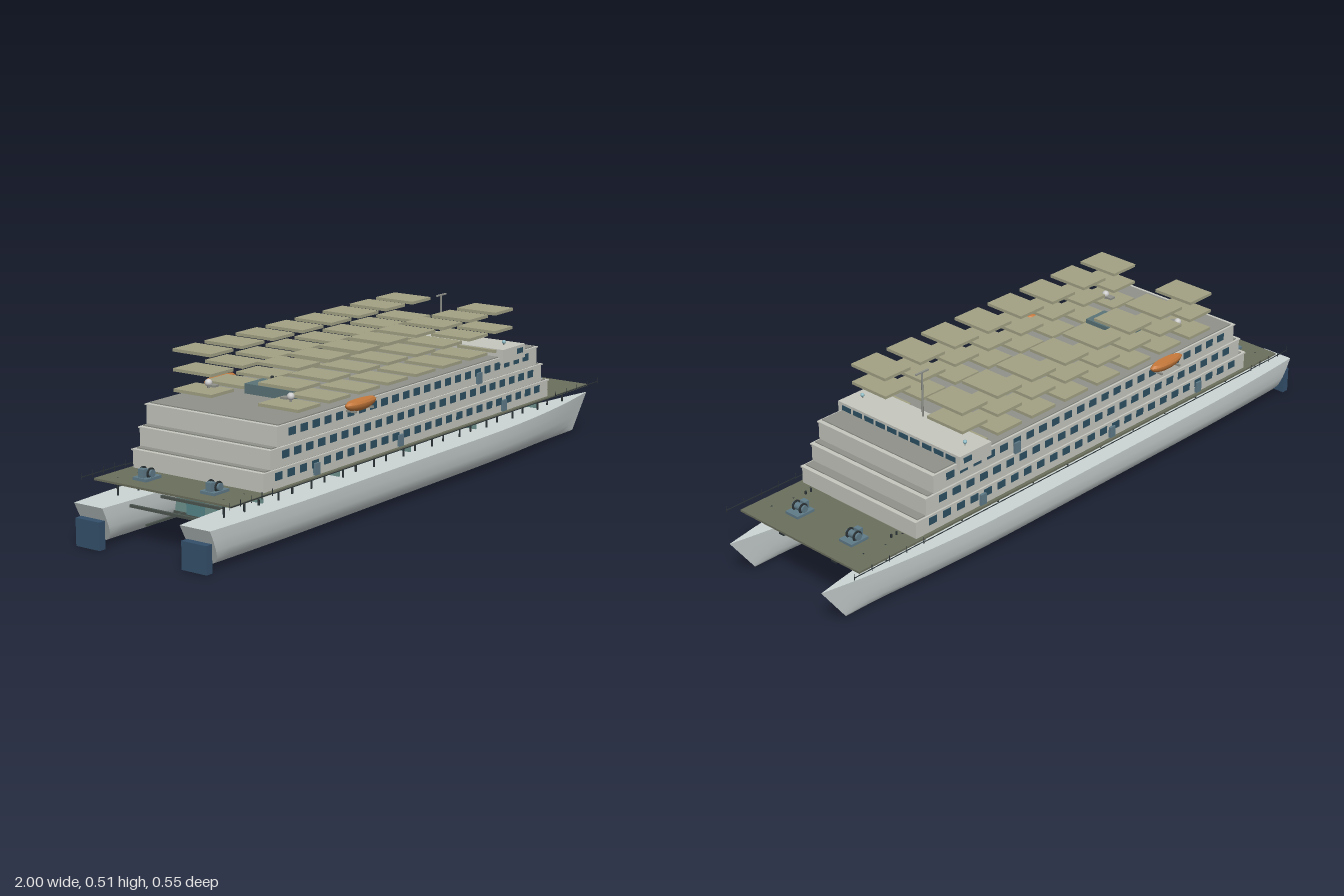
import * as THREE from 'three';

const mat = (color) => new THREE.MeshStandardMaterial({ color });

export function createModel() {
  const ship = new THREE.Group();
  const hullMat = mat(0xccd4d4), deckMat = mat(0x6b6f5c), wallMat = mat(0xc6c7bf), trimMat = mat(0x8f918a);
  const glassMat = mat(0x2d5063), panelMat = mat(0xa3a285), boatMat = mat(0xc77a3c), tealMat = mat(0x6f9490);
  const flapMat = mat(0x55868b), darkMat = mat(0x2b3336), machineMat = mat(0x5f7b88), beamMat = mat(0x4c5550);
  const rudderMat = mat(0x34506b), roofHouseMat = mat(0x5a7478), domeMat = mat(0xcccccc), lampMat = mat(0x8fbcc6);

  const add = (name, geo, material, x, y, z, parent = ship) => {
    const m = new THREE.Mesh(geo, material);
    m.name = name;
    m.position.set(x, y, z);
    parent.add(m);
    return m;
  };
  const box = (name, material, x0, x1, y0, y1, z0, z1, parent = ship) =>
    add(name, new THREE.BoxGeometry(x1 - x0, y1 - y0, z1 - z0), material,
      (x0 + x1) / 2, (y0 + y1) / 2, (z0 + z1) / 2, parent);
  const rod = (name, material, r, h, x, y0, z, parent = ship) =>
    add(name, new THREE.CylinderGeometry(r, r, h, 8), material, x, y0 + h / 2, z, parent);
  const group = (name, x = 0, y = 0, z = 0) => {
    const g = new THREE.Group();
    g.name = name;
    g.position.set(x, y, z);
    ship.add(g);
    return g;
  };

  // Hulls: U-shaped sections lofted from stern to raked bow
  const section = [[1, 0.12], [0.98, 0.09], [0.91, 0.06], [0.78, 0.035], [0.5, 0.018], [0.2, 0.011], [0, 0.008]];
  const ring = [...section, ...section.slice(0, -1).reverse().map(([z, y]) => [-z, y])];
  const hullGeometry = () => {
    const N = 40, R = ring.length, pos = [], idx = [];
    for (let i = 0; i <= N; i++) {
      const u = -1 + 2 * i / N;
      let w = 1;
      if (u > 0.25) w = 1 - Math.pow((u - 0.25) / 0.75, 2.2);
      if (u < -0.5) w = 1 - 0.24 * Math.pow((-u - 0.5) / 0.5, 2);
      for (const [z, y] of ring) {
        const t = (y - 0.008) / 0.112;
        const top = u * 0.995, low = -0.94 + (u + 1) * 0.925;
        pos.push(low + (top - low) * t, y, z * 0.068 * Math.max(w, 0.004));
      }
    }
    for (let i = 0; i < N; i++) for (let j = 0; j < R - 1; j++) {
      const a = i * R + j, b = a + R;
      idx.push(a, b, a + 1, b, b + 1, a + 1);
    }
    const g = new THREE.BufferGeometry();
    g.setAttribute('position', new THREE.Float32BufferAttribute(pos, 3));
    g.setIndex(idx);
    g.computeVertexNormals();
    // Flat lid and transom
    const flat = [];
    const p = (k) => pos.slice(k * 3, k * 3 + 3);
    for (let i = 0; i < N; i++) {
      const a = i * R, b = a + R, c = a + R - 1, d = b + R - 1;
      flat.push(...p(a), ...p(c), ...p(b), ...p(b), ...p(c), ...p(d));
    }
    for (let j = 1; j < R - 1; j++) flat.push(...p(0), ...p(j), ...p(j + 1));
    const caps = new THREE.BufferGeometry();
    caps.setAttribute('position', new THREE.Float32BufferAttribute(flat, 3));
    caps.computeVertexNormals();
    return [g, caps];
  };
  const [shellGeo, capGeo] = hullGeometry();
  const hullShellMat = hullMat.clone();
  hullShellMat.side = THREE.DoubleSide;
  for (const s of [-1, 1]) {
    const hull = group(s > 0 ? 'leftHull' : 'rightHull', 0, 0, s * 0.188);
    add('hullShell', shellGeo, hullShellMat, 0, 0, 0, hull);
    add('hullCaps', capGeo, hullShellMat, 0, 0, 0, hull);
    box('rudder', rudderMat, -1, -0.977, 0, 0.08, -0.043, 0.043, hull);
    box('rudderStock', rudderMat, -0.985, -0.93, 0.03, 0.05, -0.01, 0.01, hull);
    // Posts between hull and deck
    for (let i = 0; i < 24; i++)
      rod('deckPost', darkMat, 0.003, 0.06, -0.87 + i * 0.074, 0.11, i % 2 ? 0.006 : -0.004, hull);
  }

  // Cross structure between the hulls
  for (let i = 0; i < 5; i++) {
    const x = 0.7 - i * 0.35, g = group('crossBulkhead', x);
    box('bulkheadPlate', tealMat, -0.003, 0.003, 0.12, 0.155, -0.18, 0.18, g);
    box('bulkheadLower', tealMat, -0.003, 0.003, 0.048, 0.12, -0.13, 0.13, g);
    box('bottomBeam', beamMat, -0.006, 0.006, 0.042, 0.05, -0.137, 0.137, g);
    for (const s of [-1, 1]) {
      add('flap', new THREE.BoxGeometry(0.014, 0.068, 0.064), flapMat, 0, 0.08, s * 0.054, g);
      for (const z of [0.08, 0.103, 0.118]) rod('strut', beamMat, 0.003, 0.11, 0.007, 0.046, s * z, g);
    }
  }
  for (let i = 0; i < 15; i++)
    add('crossBeam', new THREE.BoxGeometry(0.008, 0.008, 0.27), beamMat, 0.82 - i * 0.122, 0.105, 0);
  for (const s of [-1, 1]) box('longBeam', beamMat, -0.86, 0.76, 0.044, 0.05, s * 0.1 - 0.003, s * 0.1 + 0.003);

  // Main deck
  box('mainDeck', deckMat, -0.91, 0.905, 0.164, 0.17, -0.243, 0.243);

  // Three stepped cabin tiers with roof slabs and windows
  const tiers = [[-0.76, 0.68, 0.17, 0.224], [-0.73, 0.64, 0.226, 0.282], [-0.70, 0.61, 0.284, 0.342]];
  tiers.forEach(([x0, x1, y0, y1], k) => {
    box('cabinTier', wallMat, x0, x1, y0, y1 - 0.004, -0.232, 0.232);
    box('tierRoof', wallMat, x0 - 0.004, x1 + 0.004, y1 - 0.004, y1, -0.235, 0.235);
    box('tierSeam', trimMat, x0 + 0.01, x1 - 0.01, y1, y1 + 0.003, -0.228, 0.228);
    const n = 25 - k, a = x0 + 0.065, b = x1 - 0.065;
    for (let i = 0; i < n; i++) for (const s of [-1, 1])
      add('cabinWindow', new THREE.BoxGeometry(0.03, 0.022, 0.004), glassMat,
        a + (b - a) * i / (n - 1), y0 + 0.034, s * 0.232);
  });

  // Bridge with a window band
  box('bridge', wallMat, 0.395, 0.52, 0.325, 0.368, -0.246, 0.246);
  for (let i = 0; i < 10; i++)
    add('bridgeWindow', new THREE.BoxGeometry(0.004, 0.018, 0.036), glassMat, 0.52, 0.351, (i - 4.5) * 0.0468);
  for (const s of [-1, 1]) add('wingWindow', new THREE.BoxGeometry(0.03, 0.016, 0.004), glassMat, 0.49, 0.351, s * 0.246);
  rod('mast', trimMat, 0.003, 0.142, 0.42, 0.368, 0);
  box('mastYard', trimMat, 0.395, 0.445, 0.506, 0.51, -0.003, 0.003);

  // Solar roof panels in three layers
  for (const y of [0.362, 0.421, 0.478]) for (let i = 0; i < 8; i++) for (const s of [-1, 1])
    add('roofPanel', new THREE.BoxGeometry(0.1, 0.009, 0.139), panelMat, -0.545 + i * 0.14, y, s * 0.153);

  // Roof house and exhaust pipes
  box('roofHouse', roofHouseMat, -0.45, -0.365, 0.342, 0.374, -0.082, 0.082);
  for (const z of [-0.016, 0, 0.016]) rod('exhaust', darkMat, 0.005, 0.022, -0.405, 0.374, z);

  for (const s of [-1, 1]) {
    // Radar domes and lamps
    rod('domeStand', trimMat, 0.004, 0.04, -0.53, 0.34, s * 0.147);
    add('radarDome', new THREE.SphereGeometry(0.011, 16, 12), domeMat, -0.53, 0.382, s * 0.147);
    add('dishArm', new THREE.BoxGeometry(0.02, 0.006, 0.022), trimMat, -0.53, 0.376, s * 0.128);
    rod('lampStand', trimMat, 0.002, 0.01, 0.46, 0.367, s * 0.207);
    add('lamp', new THREE.SphereGeometry(0.006, 12, 8), lampMat, 0.46, 0.378, s * 0.207);

    // Lifeboat: rounded hull under a flat canopy
    const boat = group('lifeboat', -0.35, 0.348, s * 0.254);
    const lower = add('boatHull', new THREE.SphereGeometry(1, 20, 8, 0, Math.PI * 2, Math.PI / 2, Math.PI / 2), boatMat, 0, 0, 0, boat);
    lower.scale.set(0.07, 0.024, 0.019);
    const lid = add('boatCanopy', new THREE.CylinderGeometry(0.85, 1, 1, 20), boatMat, 0, 0.003, 0, boat);
    lid.scale.set(0.07, 0.007, 0.019);
    for (const x of [-0.04, 0.04]) box('davit', trimMat, x - 0.003, x + 0.003, -0.024, -0.018, -0.02, 0.014, boat);

    // Side equipment lockers
    for (const [x, y] of [[-0.13, 0.19], [0.42, 0.19], [0.28, 0.3], [-0.53, 0.19]])
      add('sideLocker', new THREE.BoxGeometry(0.022, 0.034, 0.008), machineMat, x, y, s * 0.236);

    // Outboard guard lines with posts near bow and stern
    for (const [x0, x1] of [[-0.94, -0.76], [0.68, 0.94]]) {
      box('guardRail', darkMat, x0, x1, 0.174, 0.176, s * 0.262 - 0.001, s * 0.262 + 0.001);
      for (let i = 0; i < 5; i++) rod('railPost', darkMat, 0.001, 0.02, x0 + (x1 - x0) * i / 4, 0.168, s * 0.262);
    }
    box('guardLine', darkMat, -0.76, 0.68, 0.172, 0.174, s * 0.262 - 0.001, s * 0.262 + 0.001);

    // Mooring winches fore and aft
    for (const [x, z] of [[0.8, 0.11], [-0.83, 0.12]]) {
      const w = group('winch', x, 0.17, s * z);
      box('winchBase', machineMat, -0.032, 0.032, 0, 0.008, -0.025, 0.025, w);
      const drum = add('winchDrum', new THREE.CylinderGeometry(0.011, 0.011, 0.044, 16), machineMat, 0, 0.018, 0, w);
      drum.rotation.x = Math.PI / 2;
      box('winchMotor', machineMat, -0.026, -0.01, 0.008, 0.032, -0.01, 0.01, w);
      for (const e of [-1, 1]) {
        const flange = add('winchFlange', new THREE.CylinderGeometry(0.016, 0.016, 0.004, 16), darkMat, 0, 0.018, e * 0.014, w);
        flange.rotation.x = Math.PI / 2;
      }
    }
    // Anchor pipe under the bow deck and bollards
    rod('anchorShank', darkMat, 0.004, 0.035, 0.87, 0.132, s * 0.107);
    box('anchorStock', darkMat, 0.865, 0.875, 0.13, 0.136, s * 0.107 - 0.01, s * 0.107 + 0.01);
    for (const x of [0.7, 0.72]) rod('bollard', darkMat, 0.003, 0.01, x, 0.17, s * 0.175);
  }
  return ship;
}
